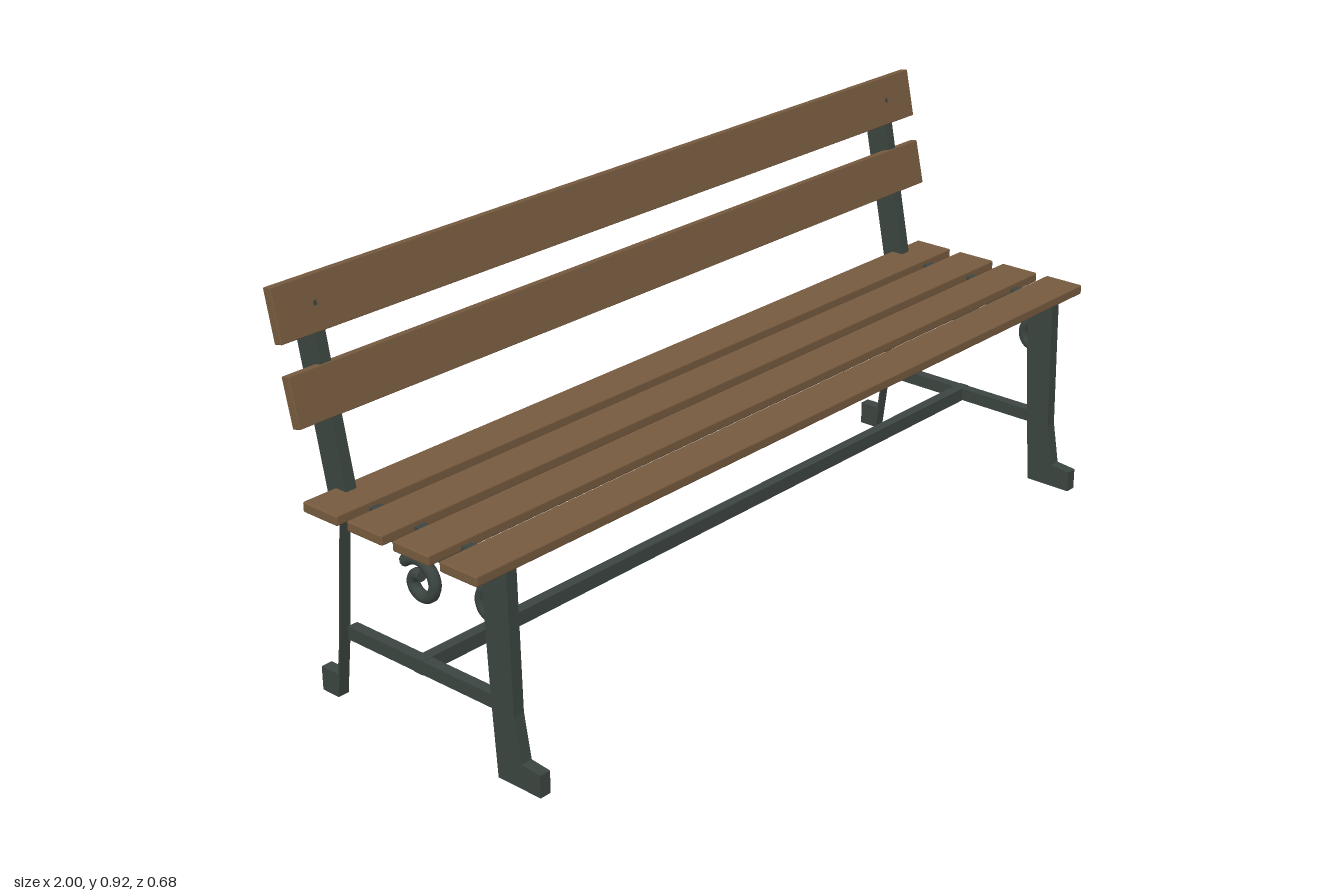
import * as THREE from 'three';
import { RoundedBoxGeometry } from 'three/addons/geometries/RoundedBoxGeometry.js';

const iron = new THREE.MeshStandardMaterial({ color: 0x3b4540 });
const wood = new THREE.MeshStandardMaterial({ color: 0x765a3e });
const THICK = 0.027; // thickness of the iron side frames
const SIDE_X = 0.903;

function add(parent, name, geometry, material, x = 0, y = 0, z = 0) {
  const mesh = new THREE.Mesh(geometry, material);
  mesh.name = name;
  mesh.position.set(x, y, z);
  parent.add(mesh);
  return mesh;
}

// Flat iron plate from a [z, y] outline, centred on x = 0
function plate(outline) {
  const shape = new THREE.Shape(outline.map(([z, y]) => new THREE.Vector2(z, y)));
  const geometry = new THREE.ExtrudeGeometry(shape, { depth: THICK, bevelEnabled: false });
  return geometry.translate(0, 0, -THICK / 2).rotateY(-Math.PI / 2);
}

// Spiral rod in the z-y plane; negative scales flip the curl
const CURL = [
  [-0.044, 0.024], [-0.02, 0.037], [0.007, 0.038], [0.032, 0.022], [0.041, -0.002], [0.032, -0.027],
  [0.007, -0.039], [-0.015, -0.029], [-0.022, -0.01], [-0.012, 0.005], [0.005, 0.007],
];
function scroll(parent, name, z, y, sz, sy) {
  const path = new THREE.CatmullRomCurve3(CURL.map(([a, b]) => new THREE.Vector3(0, b * sy, a * sz)));
  const r = 0.013;
  const group = new THREE.Group();
  group.name = name;
  group.position.set(0, y, z);
  add(group, 'scrollRod', new THREE.TubeGeometry(path, 56, r, 10), iron);
  // End caps
  for (const t of [0, 1]) {
    const cap = add(group, 'scrollEnd', new THREE.CircleGeometry(r, 10), iron);
    cap.position.copy(path.getPointAt(t));
    const out = path.getTangentAt(t).multiplyScalar(t ? 1 : -1);
    cap.quaternion.setFromUnitVectors(new THREE.Vector3(0, 0, 1), out);
  }
  parent.add(group);
}

function sideFrame(name, x) {
  const frame = new THREE.Group();
  frame.name = name;
  frame.position.x = x;

  add(frame, 'frontLeg', plate([
    [0.267, 0.465], [0.273, 0.154], [0.29, 0.055], [0.339, 0.05], [0.339, 0],
    [0.224, 0], [0.212, 0.165], [0.198, 0.43], [0.198, 0.465],
  ]), iron);
  add(frame, 'backLeg', plate([
    [-0.2, 0.45], [-0.226, 0.15], [-0.245, 0], [-0.293, 0], [-0.293, 0.055],
    [-0.243, 0.055], [-0.231, 0.14], [-0.204, 0.43],
  ]), iron);
  add(frame, 'seatRail', plate([
    [0.267, 0.465], [0.198, 0.42], [-0.203, 0.42], [-0.203, 0.475], [0.19, 0.475],
  ]), iron);
  add(frame, 'backPost', plate([
    [-0.176, 0.475], [-0.2, 0.455], [-0.231, 0.455], [-0.3, 0.8], [-0.317, 0.892], [-0.268, 0.905], [-0.259, 0.895],
  ]), iron);
  add(frame, 'sideStretcher', new THREE.BoxGeometry(0.025, 0.03, 0.418), iron, 0, 0.165, 0.007);

  scroll(frame, 'railScroll', 0.012, 0.358, 1, 1);
  scroll(frame, 'legScroll', 0.217, 0.375, -0.85, 0.85);
  scroll(frame, 'topScroll', -0.295, 0.853, 0.82, -0.82);

  // Bolts holding the back slats
  for (const [z, y] of [[-0.273, 0.861], [-0.241, 0.691]]) {
    add(frame, 'bolt', new THREE.CylinderGeometry(0.008, 0.008, 0.03, 12).rotateZ(Math.PI / 2), iron, 0, y, z);
  }
  return frame;
}

export function createModel() {
  const bench = new THREE.Group();
  bench.name = 'bench';

  bench.add(sideFrame('leftFrame', SIDE_X), sideFrame('rightFrame', -SIDE_X));
  add(bench, 'longStretcher', new THREE.BoxGeometry(2 * SIDE_X + 0.026, 0.032, 0.025), iron, 0, 0.165, 0.006);

  // Seat slats, front to back
  const seatSlat = new RoundedBoxGeometry(2, 0.023, 0.1, 2, 0.004);
  for (let i = 0; i < 4; i++) add(bench, 'seatSlat', seatSlat, wood, 0, 0.4755, 0.2255 - i * 0.129);

  // Leaning back slats
  const backSlat = new RoundedBoxGeometry(2, 0.114, 0.022, 2, 0.002);
  add(bench, 'upperBackSlat', backSlat, wood, 0, 0.861, -0.261).rotation.x = -0.21;
  const lower = add(bench, 'lowerBackSlat', backSlat, wood, 0, 0.691, -0.225);
  lower.rotation.x = -0.22;
  lower.scale.y = 0.94;

  return bench;
}
